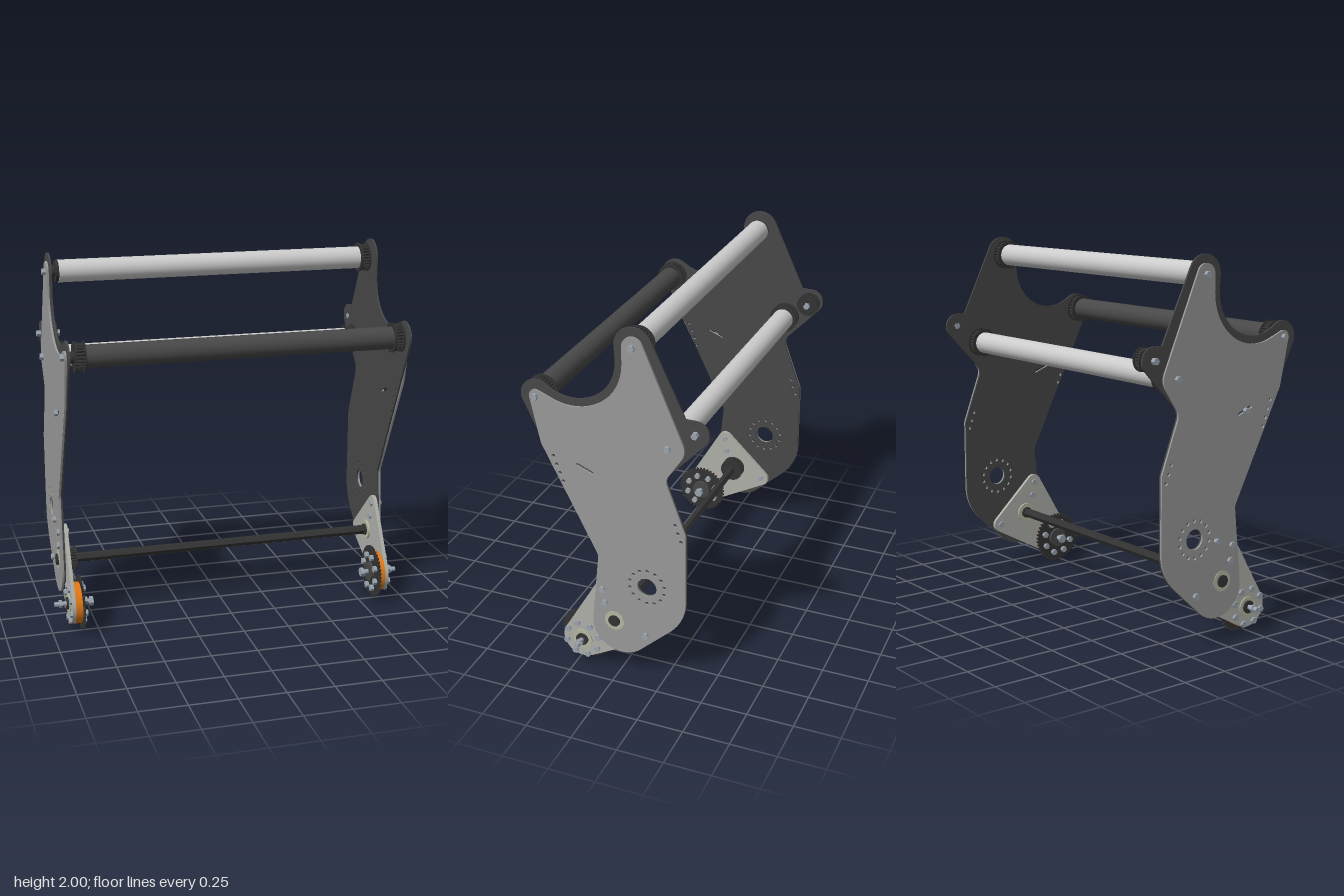
import * as THREE from 'three';
import { toCreasedNormals } from 'three/addons/utils/BufferGeometryUtils.js';

const mat = (color, extra = {}) => new THREE.MeshStandardMaterial({ color, ...extra });
const M = {
  light: mat(0xcccccc), plate: mat(0x999999), dark: mat(0x484848), black: mat(0x333333),
  hex: mat(0x333333, { flatShading: true }), bolt: mat(0x9aa4ae, { flatShading: true }),
  arm: mat(0xb0b0aa), bearing: mat(0xb5b8a0), orange: mat(0xe07818),
};

// Profiles live in a (u, y) plane where u = -z; parts are extruded or turned along x.

// Outline running around circles [u, y, r]; a negative r is a concave bend, zero a corner
function belt(circles) {
  const n = circles.length, pts = [];
  const normal = circles.map(([u, y, r], i) => {
    const [u2, y2, r2] = circles[(i + 1) % n];
    const d = Math.hypot(u2 - u, y2 - y);
    return Math.atan2(y2 - y, u2 - u) - Math.acos(THREE.MathUtils.clamp((r - r2) / d, -1, 1));
  });
  circles.forEach(([u, y, r], i) => {
    if (r === 0) return pts.push(new THREE.Vector2(u, y));
    const a = normal[(i + n - 1) % n], T = Math.PI * 2;
    let sweep = (((normal[i] - a) % T) + T) % T;
    if (r < 0) sweep -= T;
    const k = Math.max(3, Math.ceil(Math.abs(sweep) / 0.13));
    for (let j = 0; j <= k; j++) {
      const t = a + (sweep * j) / k;
      pts.push(new THREE.Vector2(u + r * Math.cos(t), y + r * Math.sin(t)));
    }
  });
  return new THREE.Shape(pts);
}

// Toothed disc outline
function toothed(r, teeth, depth) {
  const pts = [];
  for (let i = 0; i < teeth; i++) {
    [[0, r - depth], [0.3, r], [0.6, r], [0.9, r - depth]].forEach(([f, q]) => {
      const a = ((i + f) / teeth) * Math.PI * 2;
      pts.push(new THREE.Vector2(q * Math.cos(a), q * Math.sin(a)));
    });
  }
  return new THREE.Shape(pts);
}

// Extrude a shape between two x values, centred at (u, y)
function slab(parent, name, shape, x0, x1, material, u = 0, y = 0) {
  const g = new THREE.ExtrudeGeometry(shape, { depth: Math.abs(x1 - x0), bevelEnabled: false, curveSegments: 12 });
  g.rotateY(Math.PI / 2);
  const m = new THREE.Mesh(toCreasedNormals(g, 0.5), material);
  m.name = name;
  m.position.set(Math.min(x0, x1), y, -u);
  parent.add(m);
}

// Cylinder between two x values
function rod(parent, name, u, y, r, x0, x1, material, sides = 32) {
  const g = new THREE.CylinderGeometry(r, r, Math.abs(x1 - x0), sides).rotateZ(Math.PI / 2);
  const m = new THREE.Mesh(g, material);
  m.name = name;
  m.position.set((x0 + x1) / 2, y, -u);
  parent.add(m);
}

function pulley(parent, name, u, y, x0, x1, r) {
  const g = new THREE.Group();
  g.name = name;
  const t = (x1 - x0) * 0.12;
  slab(g, 'pulleyTeeth', toothed(r * 0.9, 24, r * 0.1), x0 + t, x1 - t, M.black, u, y);
  rod(g, 'pulleyFlange', u, y, r, x0, x0 + t, M.black);
  rod(g, 'pulleyFlange', u, y, r, x1 - t, x1, M.black);
  parent.add(g);
}

const ring = (n, r, u, y, phase = 0) => Array.from({ length: n }, (_, i) => {
  const a = phase + (i / n) * Math.PI * 2;
  return [u + r * Math.cos(a), y + r * Math.sin(a)];
});
const row = (n, u0, y0, u1, y1) => Array.from({ length: n }, (_, i) => {
  const f = i / (n - 1);
  return [u0 + (u1 - u0) * f, y0 + (y1 - y0) * f];
});

const TOP = [0.11, 1.9], FRONT = [-0.415, 1.555], BACK = [0.29, 1.4], IDLER = [0.43, 1.5];
const SHAFT = [-0.016, 0.33], WHEEL = [-0.215, 0.15];

// Plate outlines: shared lower leg, different heads
const LEG = [[0.02, 0.3, 0.16], [0.115, 0.535, 0.268], [0.333, 0.92, 0.05], [0.341, 1.215, -0.06]];
const WAIST = [-0.16, 0.7, -0.06];
const backing = () => belt([...LEG, [...IDLER, 0.07], [0.377, 1.57, 0], [...TOP, 0.1],
  [-0.22, 1.81, -0.235], [...FRONT, 0.085], WAIST]);
const cover = () => belt([...LEG, [...BACK, 0.085], [...TOP, 0.055],
  [-0.22, 1.81, -0.275], [...FRONT, 0.035], [-0.396, 1.3, 0], WAIST]);

function drill(shape) {
  const hole = (u, y, r) => shape.holes.push(new THREE.Path().absarc(u, y, r, 0, Math.PI * 2));
  hole(0.17, 0.578, 0.053);
  [...ring(14, 0.097, 0.17, 0.578, 0.2), ...row(4, -0.33, 1.24, -0.28, 1.105), ...row(3, 0.325, 0.98, 0.356, 0.89)]
    .forEach(([u, y]) => hole(u, y, 0.01));
  const slot = belt([[-0.197, 1.217, 0.008], [-0.117, 1.185, 0.008]]);
  shape.holes.push(new THREE.Path(slot.getPoints()));
  return shape;
}

function side(s) {
  const g = new THREE.Group();
  g.name = s > 0 ? 'leftSide' : 'rightSide';
  slab(g, 'backingPlate', drill(backing()), s * 0.9, s * 0.91, M.dark);
  slab(g, 'coverPlate', drill(cover()), s * 0.91, s * 0.921, M.plate);

  // Wheel arm on the inside of the plate
  slab(g, 'wheelArm', belt([[...WHEEL, 0.11], [0.16, 0.28, 0.045], [-0.08, 0.51, 0.045]]), s * 0.88, s * 0.9, M.arm);

  // Plate bolts
  [TOP, FRONT, BACK].forEach(([u, y]) => {
    rod(g, 'bolt', u, y, 0.018, s * 0.921, s * 0.94, M.bolt, 6);
    rod(g, 'rollerSpacer', u, y, 0.03, s * 0.865, s * 0.9, M.black);
  });
  [[-0.08, 0.51], [-0.068, 0.43], [0.16, 0.28]].forEach(([u, y]) =>
    rod(g, 'armBolt', u, y, 0.018, s * 0.87, s * 0.935, M.bolt, 6));
  rod(g, 'idlerBolt', ...IDLER, 0.018, s * 0.895, s * 0.935, M.bolt, 6);

  // Cross shaft bearing
  rod(g, 'shaftBearing', ...SHAFT, 0.055, s * 0.87, s * 0.924, M.bearing);
  rod(g, 'shaftCollar', ...SHAFT, 0.032, s * 0.86, s * 0.932, M.black);

  // Wheel, sprocket and axle
  const w = new THREE.Group();
  w.name = 'wheel';
  rod(w, 'tyre', ...WHEEL, 0.112, s * 0.843, s * 0.88, M.orange, 48);
  slab(w, 'sprocket', toothed(0.148, 40, 0.014), s * 0.834, s * 0.843, M.black, ...WHEEL);
  rod(w, 'innerHub', ...WHEEL, 0.055, s * 0.818, s * 0.834, M.dark);
  rod(w, 'outerBearing', ...WHEEL, 0.055, s * 0.9, s * 0.906, M.bearing);
  rod(w, 'axleCollar', ...WHEEL, 0.034, s * 0.9, s * 0.915, M.black);
  ring(8, 0.095, ...WHEEL, 0.3).forEach(([u, y]) => {
    rod(w, 'wheelBolt', u, y, 0.018, s * 0.815, s * 0.834, M.bolt, 6);
    rod(w, 'wheelBolt', u, y, 0.018, s * 0.9, s * 0.912, M.bolt, 6);
  });
  rod(w, 'axle', ...WHEEL, 0.013, s * 0.78, s * 0.98, M.bolt, 12);
  rod(w, 'axleHead', ...WHEEL, 0.026, s * 0.77, s * 0.79, M.bolt, 6);
  rod(w, 'axleNut', ...WHEEL, 0.022, s * 0.94, s * 0.955, M.bolt, 6);
  g.add(w);
  return g;
}

export function createModel() {
  const model = new THREE.Group();
  model.add(side(1), side(-1));

  // Rollers with drive pulleys at their ends
  [['topRoller', TOP, M.light], ['frontRoller', FRONT, M.dark], ['backRoller', BACK, M.light]].forEach(([name, c, m]) => {
    const g = new THREE.Group();
    g.name = name;
    rod(g, 'tube', ...c, 0.06, -0.855, 0.83, m, 48);
    pulley(g, 'drivePulley', ...c, 0.825, 0.88, 0.08);
    if (name === 'topRoller') rod(g, 'endCap', ...c, 0.057, -0.872, -0.855, M.black);
    else pulley(g, 'drivePulley', ...c, -0.87, -0.815, 0.08);
    model.add(g);
  });

  // Hexagonal cross shaft and its pulley
  rod(model, 'crossShaft', ...SHAFT, 0.026, -0.935, 0.935, M.hex, 6);
  pulley(model, 'shaftPulley', ...SHAFT, -0.875, -0.825, 0.068);

  // Belt idler on one side only
  pulley(model, 'idlerPulley', ...IDLER, -0.875, -0.825, 0.062);
  rod(model, 'idlerAxle', ...IDLER, 0.018, -0.9, -0.805, M.bolt, 6);
  rod(model, 'slotBolt', -0.157, 1.2, 0.016, -0.94, -0.921, M.bolt, 6);
  rod(model, 'smallBolt', 0.027, 0.547, 0.016, -0.94, -0.921, M.bolt, 6);
  return model;
}
